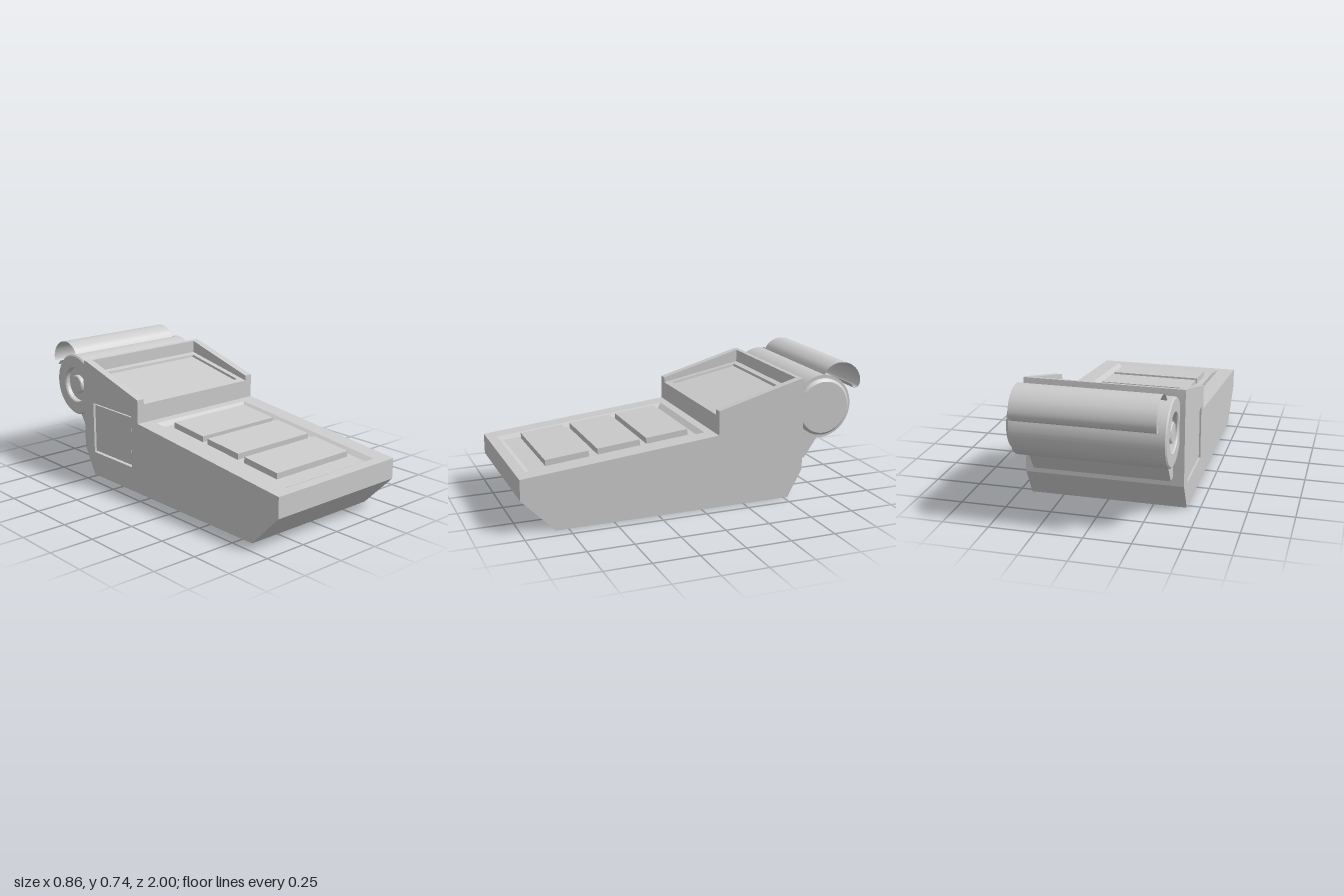
import * as THREE from 'three';
import { toCreasedNormals } from 'three/addons/utils/BufferGeometryUtils.js';

const grey = new THREE.MeshStandardMaterial({ color: 0xcccccc });
const greyThin = new THREE.MeshStandardMaterial({ color: 0xcccccc, side: THREE.DoubleSide });

const deckY = z => 0.4 - 0.1 * z;               // sloping key deck
const screenY = z => 0.515 - 0.19 * (z + 0.1);  // sloping screen floor
const ROLL = { z: -0.74, y: 0.5, r: 0.18 };

const outline = points => new THREE.Shape(points.map(([z, y]) => new THREE.Vector2(z, y)));

// Extrudes a (z, y) side profile across x0..x1
function acrossX(shape, x0, x1) {
  const geo = new THREE.ExtrudeGeometry(shape, { depth: x1 - x0, bevelEnabled: false, curveSegments: 64 });
  geo.rotateY(-Math.PI / 2).translate(x1, 0, 0);
  return toCreasedNormals(geo, 0.5);
}

// Lathe about the x axis at the roll centre; profile is [radius, x]
function turned(profile) {
  const geo = new THREE.LatheGeometry(profile.map(([r, x]) => new THREE.Vector2(r, x)), 64);
  geo.rotateZ(-Math.PI / 2).translate(0, ROLL.y, ROLL.z);
  return toCreasedNormals(geo, 0.4);
}

// Nested rectangles [halfWidth, zFront, zBack, drop] joined into a recessed panel
function recessedPanel(loops, surface) {
  const rings = loops.map(([w, f, b, d]) =>
    [[-w, f], [w, f], [w, b], [-w, b]].map(([x, z]) => [x, surface(z) - d, z]));
  const pos = [];
  const quad = (a, b, c, d) => pos.push(...a, ...b, ...c, ...a, ...c, ...d);
  for (let k = 0; k + 1 < rings.length; k++) {
    for (let i = 0; i < 4; i++) {
      const j = (i + 1) % 4;
      quad(rings[k][i], rings[k][j], rings[k + 1][j], rings[k + 1][i]);
    }
  }
  quad(...rings[rings.length - 1]);
  const geo = new THREE.BufferGeometry();
  geo.setAttribute('position', new THREE.Float32BufferAttribute(pos, 3));
  geo.computeVertexNormals();
  return geo;
}

export function createModel() {
  const model = new THREE.Group();
  const add = (name, geo, material = grey) => {
    const mesh = new THREE.Mesh(geo, material);
    mesh.name = name;
    model.add(mesh);
    return mesh;
  };

  // Housing: two side walls and a lower core between them
  const base = [[1, 0.3], [1, 0.185], [0.82, 0], [-0.525, 0], [-0.61, 0.155], [-0.61, 0.6], [-0.6, 0.68]];
  const sideProfile = [...base, [-0.57, 0.675], [-0.1, 0.545], [-0.1, 0.41]];
  const wall = 0.385, half = 0.43;
  add('leftSideWall', acrossX(outline(sideProfile), wall, half));

  // The right wall has a sunken access panel
  const rightShape = outline(sideProfile);
  rightShape.holes.push(outline([[-0.52, 0.14], [-0.16, 0.14], [-0.16, 0.44], [-0.52, 0.44]]));
  add('rightSideWall', acrossX(rightShape, -half, -wall));
  add('sideAccessPanel', new THREE.BoxGeometry(0.03, 0.28, 0.34)).position.set(-0.408, 0.29, -0.34);

  const core = [...base, [-0.578, 0.677], [-0.578, screenY(-0.578)],
    [-0.56, screenY(-0.56)], [-0.56, screenY(-0.56) - 0.04],
    [-0.12, screenY(-0.12) - 0.04], [-0.12, screenY(-0.12)], [-0.1, screenY(-0.1)],
    [-0.1, 0.41], [-0.08, deckY(-0.08)], [-0.08, deckY(-0.08) - 0.04],
    [0.97, deckY(0.97) - 0.04], [0.97, deckY(0.97)]];
  add('housingCore', acrossX(outline(core), -wall, wall));

  // Key deck with a shallow bevelled recess
  add('keyDeck', recessedPanel([
    [wall, 0.97, -0.08, 0], [0.333, 0.945, -0.055, 0], [0.3, 0.915, -0.025, 0.018]], deckY));

  // Screen set into its sloping bezel
  add('screen', recessedPanel([
    [wall, -0.12, -0.56, 0], [0.352, -0.138, -0.545, 0],
    [0.35, -0.14, -0.543, 0.014], [0.34, -0.15, -0.533, 0.014]], screenY));

  // Three wide key blocks following the deck slope
  for (const [i, z] of [0.7, 0.412, 0.135].entries()) {
    const f = z + 0.12, b = z - 0.12;
    add('keyBlock' + (i + 1), acrossX(outline([
      [f, deckY(f) - 0.03], [b, deckY(b) - 0.03],
      [b + 0.003, deckY(b) + 0.015], [f + 0.003, deckY(f) + 0.015]]), -0.264, 0.264));
  }

  // Bracket holding the paper roll
  add('rollBracket', acrossX(outline([
    [-0.59, 0.2], [-0.655, 0.2], [-0.745, 0.33], [-0.745, 0.4], [-0.59, 0.4]]), -0.37, 0.37));

  // Roll drum with a slot along its top
  const slot = THREE.MathUtils.degToRad(97), gap = 0.06;
  const drum = new THREE.Shape();
  drum.absarc(ROLL.z, ROLL.y, ROLL.r, slot + gap, slot - gap + Math.PI * 2, false);
  for (const a of [slot - gap, slot + gap]) {
    drum.lineTo(ROLL.z + 0.15 * Math.cos(a), ROLL.y + 0.15 * Math.sin(a));
  }
  add('rollDrum', acrossX(drum, -0.37, 0.385));

  // Left end: closed stepped cap. Right end: ring with a recessed knob
  add('rollCap', turned([[0.18, 0.384], [0.18, 0.398], [0.162, 0.398],
    [0.162, 0.41], [0.147, 0.425], [0, 0.425]]), greyThin);
  add('rollEndRing', turned([[0, -0.398], [0.05, -0.398], [0.055, -0.393], [0.055, -0.372],
    [0.1, -0.372], [0.1, -0.395], [0.106, -0.402], [0.172, -0.402], [0.18, -0.395], [0.18, -0.369]]), greyThin);

  // Paper sheet rising from the slot and curling over
  const path = new THREE.CatmullRomCurve3([
    [-0.76, 0.66], [-0.79, 0.704], [-0.83, 0.728], [-0.87, 0.735], [-0.93, 0.722],
    [-0.98, 0.68], [-1, 0.625], [-0.99, 0.587], [-0.965, 0.578], [-0.942, 0.605]
  ].map(([z, y]) => new THREE.Vector3(0, y, z)));
  const paper = new THREE.PlaneGeometry(0.74, 1, 1, 48);
  const p = paper.attributes.position;
  for (let i = 0; i < p.count; i++) {
    const c = path.getPoint(p.getY(i) + 0.5);
    p.setXYZ(i, p.getX(i), c.y, c.z);
  }
  paper.computeVertexNormals();
  add('paperSheet', paper, greyThin);

  return model;
}
